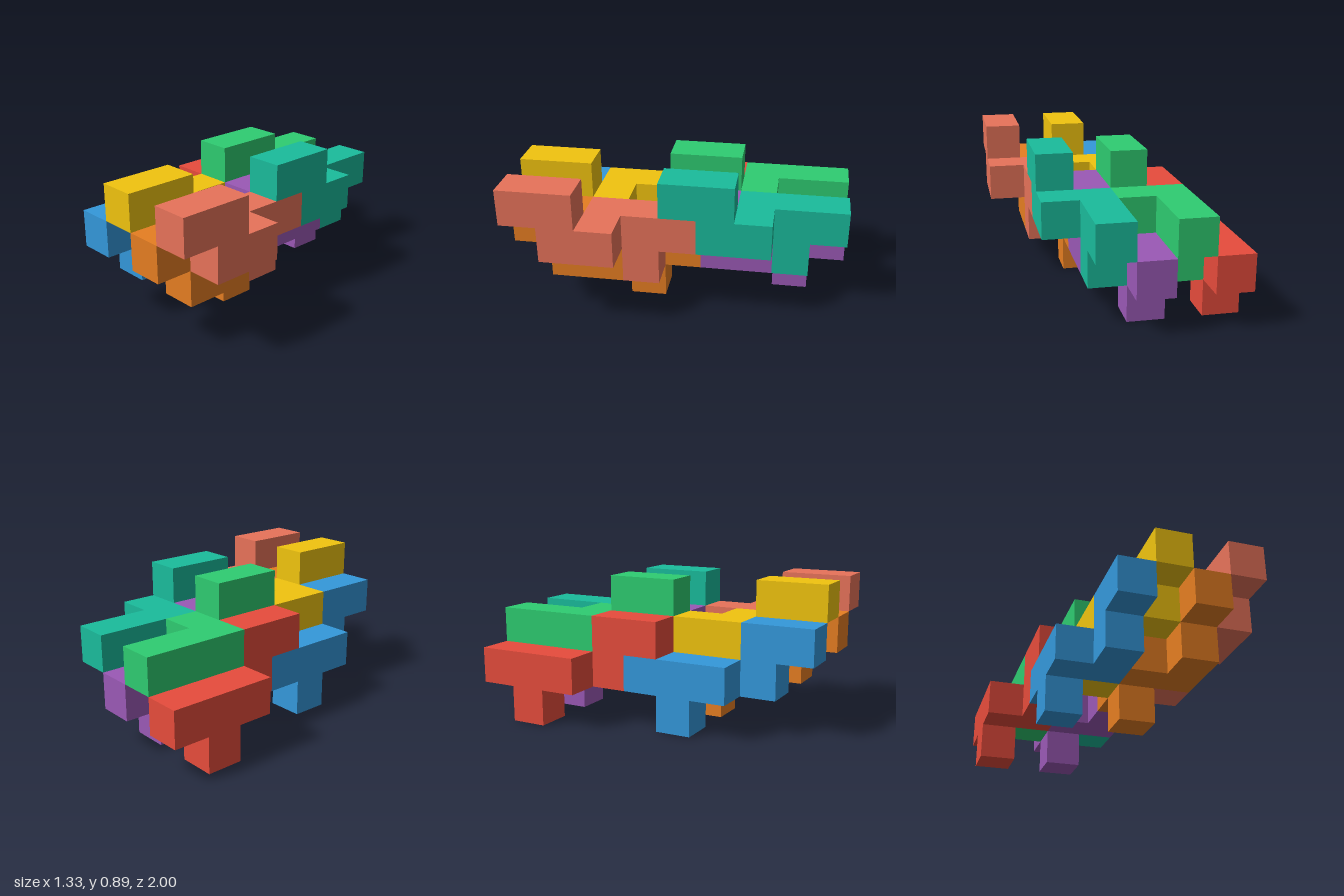
import * as THREE from 'three';
import { mergeGeometries } from 'three/addons/utils/BufferGeometryUtils.js';

const U = 2 / 9; // edge of one cube

// the eight cubes shared by every interlocking piece (x, y, z in cube units)
const CELLS = [
  [0, 1, 0], [0, 1, 1], [0, 0, 1], [0, 1, 2],
  [1, 1, 2], [1, 1, 3], [1, 2, 3], [1, 2, 4],
];

// name, colour, offset of each piece
const PIECES = [
  ['redPiece', 0xe74c3c, [0, 0, 0]],
  ['greenPiece', 0x2ecc71, [1, 1, 0]],
  ['purplePiece', 0x9b59b6, [2, 0, 0]],
  ['tealPiece', 0x1abc9c, [3, 1, 0]],
  ['bluePiece', 0x3498db, [1, 0, 4]],
  ['yellowPiece', 0xf1c40f, [2, 1, 4]],
  ['orangePiece', 0xe67e22, [3, 0, 4]],
  ['coralPiece', 0xe8735a, [4, 1, 4]],
];

const DIRECTIONS = [[1, 0, 0], [-1, 0, 0], [0, 1, 0], [0, -1, 0], [0, 0, 1], [0, 0, -1]];

// closed outer skin of a piece: one square wherever a cube has no neighbour
function pieceGeometry() {
  const filled = new Set(CELLS.map(String));
  const front = new THREE.Vector3(0, 0, 1);
  const squares = [];
  for (const cell of CELLS) {
    for (const dir of DIRECTIONS) {
      if (filled.has(String(cell.map((c, i) => c + dir[i])))) continue;
      const turn = new THREE.Quaternion().setFromUnitVectors(front, new THREE.Vector3(...dir));
      const centre = cell.map((c, i) => (c + 0.5 + dir[i] / 2) * U);
      squares.push(new THREE.PlaneGeometry(U, U).applyQuaternion(turn).translate(...centre));
    }
  }
  return mergeGeometries(squares);
}

export function createModel() {
  const model = new THREE.Group();
  model.name = 'interlockingCubePieces';
  const geometry = pieceGeometry();
  for (const [name, color, [x, y, z]] of PIECES) {
    const piece = new THREE.Mesh(geometry, new THREE.MeshStandardMaterial({ color }));
    piece.name = name;
    piece.position.set((x - 3) * U, y * U, (z - 4.5) * U);
    model.add(piece);
  }
  return model;
}
